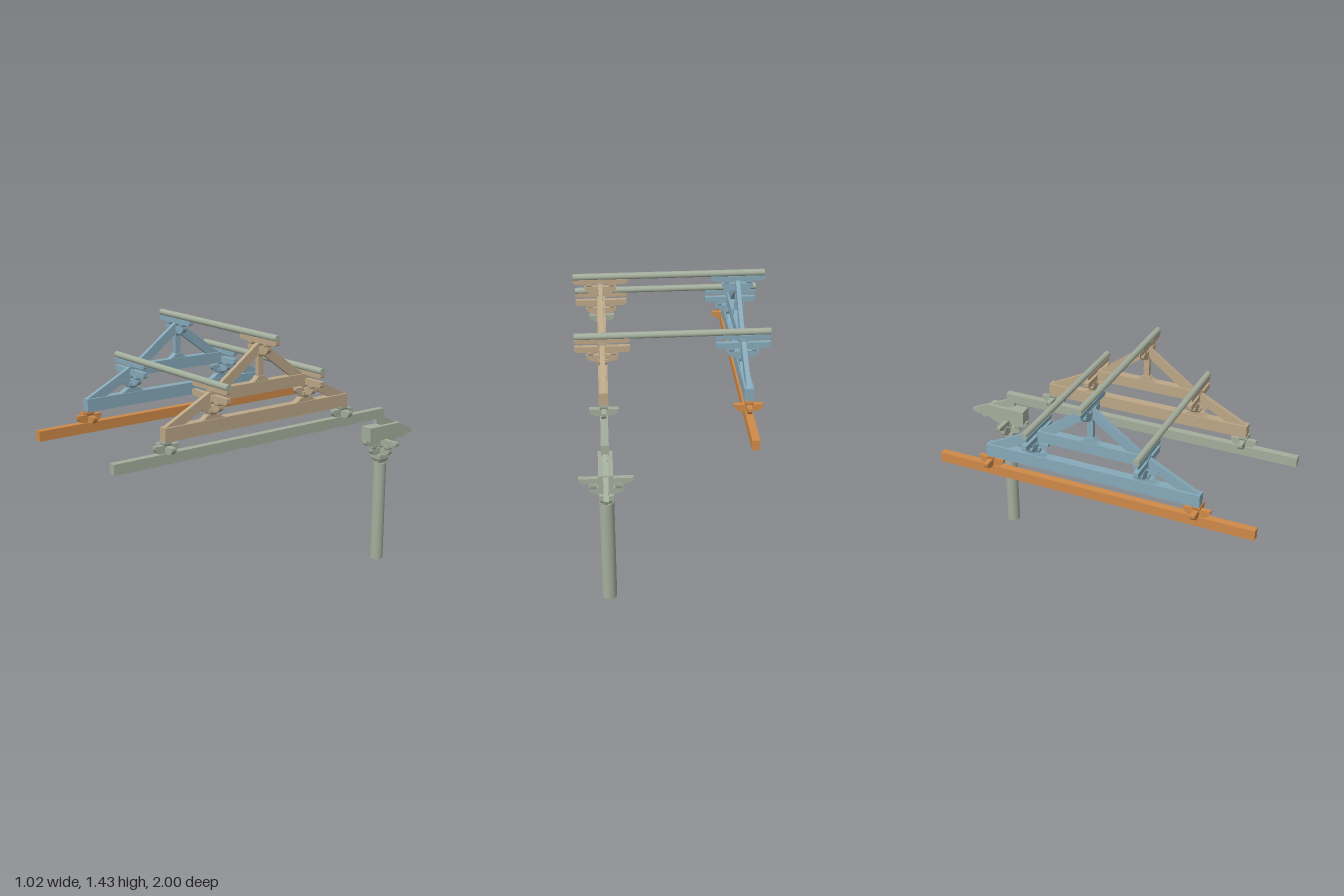
import * as THREE from 'three';

const mat = (color) => new THREE.MeshStandardMaterial({ color, flatShading: true });
const BLUE = mat(0x86a9b9), TAN = mat(0xbca788), GREY = mat(0xa3ad9c), ORANGE = mat(0xcf8a49);
const ROUND = new THREE.MeshStandardMaterial({ color: 0xa3ad9c });

function add(parent, name, geo, material, x = 0, y = 0, z = 0) {
  const m = new THREE.Mesh(geo, material);
  m.name = name;
  m.position.set(x, y, z);
  parent.add(m);
  return m;
}

function box(parent, name, material, w, y0, y1, z0, z1) {
  return add(parent, name, new THREE.BoxGeometry(w, y1 - y0, Math.abs(z1 - z0)), material, 0, (y0 + y1) / 2, (z0 + z1) / 2);
}

// outline in (along, y), given thickness, lying along x or z
function slab(parent, name, material, pts, width, axis, z = 0) {
  const shape = new THREE.Shape(pts.map(([a, b]) => new THREE.Vector2(a, b)));
  const geo = new THREE.ExtrudeGeometry(shape, { depth: width, bevelEnabled: false });
  geo.translate(0, 0, -width / 2);
  if (axis === 'z') geo.rotateY(-Math.PI / 2);
  return add(parent, name, geo, material, 0, 0, z);
}

// bracket arm: flat top, short upright ends, underside swept up to the tips
function arm(parent, name, material, half, y0, y1, axis, z = 0, width = 0.026) {
  const h = y1 - y0;
  const right = [[0.5, 0], [0.68, 0.07], [0.84, 0.25], [0.95, 0.48], [1, 0.65], [1, 1]]
    .map(([a, b]) => [a * half, y0 + b * h]);
  const left = right.map(([a, b]) => [-a, b]).reverse();
  return slab(parent, name, material, [...right, ...left], width, axis, z);
}

// square bearing block: straight upper half, tapered foot
function block(parent, name, material, size, y0, y1, z = 0, x = 0) {
  const r = size * Math.SQRT1_2, h = y1 - y0;
  const pts = [[0, 0], [r * 0.72, 0], [r * 0.8, h * 0.25], [r, h * 0.5], [r, h], [0, h]]
    .map(([a, b]) => new THREE.Vector2(a, b));
  return add(parent, name, new THREE.LatheGeometry(pts, 4, Math.PI / 4), material, x, y0, z);
}

// long board under a purlin, with chamfered ends
function board(parent, material, y0, y1, z) {
  const L = 0.143, c = 0.012, d = (y1 - y0) * 0.3;
  slab(parent, 'purlinBoard', material,
    [[-L + c, y0], [L - c, y0], [L, y0 + d], [L, y1], [-L, y1], [-L, y0 + d]], 0.026, 'x', z);
}

// one transverse truss; z is measured from the ridge
function truss(material, footMaterial) {
  const g = new THREE.Group();
  g.name = 'roofTruss';
  const frame = new THREE.Group();
  frame.name = 'trussFrame';
  g.add(frame);

  box(frame, 'lowerBeam', material, 0.048, 0.955, 1.024, -0.59, 0.59);
  box(frame, 'upperBeam', material, 0.044, 1.112, 1.173, -0.312, 0.312);

  // ridge post with spreading foot
  box(frame, 'ridgePost', material, 0.024, 1.17, 1.32, -0.016, 0.016);
  slab(frame, 'ridgePostFoot', material,
    [[-0.055, 1.173], [0.055, 1.173], [0.035, 1.182], [0.018, 1.2], [-0.018, 1.2], [-0.035, 1.182]], 0.036, 'z');
  block(frame, 'ridgePostBlock', material, 0.036, 1.295, 1.325);
  arm(frame, 'ridgeArm', material, 0.082, 1.313, 1.353, 'x');
  for (const x of [-0.06, 0, 0.06]) block(frame, 'ridgeBearingBlock', material, 0.03, 1.348, 1.372, 0, x);
  board(frame, material, 1.368, 1.394, 0);

  for (const s of [-1, 1]) {
    // sloping braces
    const m = (pts) => pts.map(([a, b]) => [a * s, b]);
    slab(frame, 'ridgeBrace', material, m([[0.285, 1.17], [0.2, 1.17], [0.012, 1.31], [0.012, 1.37]]), 0.022, 'z');
    slab(frame, 'lowerBrace', material, m([[0.59, 1.02], [0.475, 1.02], [0.315, 1.103], [0.315, 1.16]]), 0.024, 'z');

    // bracket stack under the lower purlin
    const z = s * 0.301;
    slab(frame, 'bracketFoot', material,
      [[-0.08, 1.022], [0.08, 1.022], [0.055, 1.03], [0.035, 1.046], [-0.035, 1.046], [-0.055, 1.03]], 0.036, 'z', z);
    block(frame, 'bracketBaseBlock', material, 0.05, 1.043, 1.077, z);
    arm(frame, 'crossArm', material, 0.082, 1.064, 1.1, 'x', z);
    arm(frame, 'lengthArm', material, 0.066, 1.064, 1.1, 'z', z);
    for (const x of [-0.06, 0, 0.06]) block(frame, 'bearingBlock', material, 0.032, 1.096, 1.118, z, x);
    board(frame, material, 1.116, 1.148, z);
    block(frame, 'upperBearingBlock', material, 0.034, 1.145, 1.17, z);
    board(frame, material, 1.167, 1.19, z);

    // crossed bracket carrying the lower beam
    const f = s * 0.573;
    arm(g, 'footCrossArm', footMaterial, 0.073, 0.896, 0.934, 'x', f);
    arm(g, 'footLengthArm', footMaterial, 0.07, 0.896, 0.938, 'z', f, 0.024);
    block(g, 'footBlock', footMaterial, 0.044, 0.93, 0.957, f);
  }
  g.position.z = 0.123;
  return g;
}

// column with its bracket set and slanting lever arms
function columnSet() {
  const g = new THREE.Group();
  g.name = 'columnSet';
  const z = -0.757;
  add(g, 'column', new THREE.CylinderGeometry(0.0375, 0.0385, 0.58, 32), ROUND, 0, 0.29, z);
  block(g, 'capitalBlock', GREY, 0.072, 0.578, 0.632, z);
  arm(g, 'lowerCrossArm', GREY, 0.083, 0.628, 0.668, 'x', z);
  arm(g, 'lowerLengthArm', GREY, 0.074, 0.628, 0.668, 'z', z);
  for (const x of [-0.062, 0, 0.062]) block(g, 'crossBearingBlock', GREY, 0.036, 0.66, 0.69, z, x);
  for (const d of [-0.055, 0.055]) block(g, 'lengthBearingBlock', GREY, 0.032, 0.66, 0.69, z + d);
  arm(g, 'upperCrossArm', GREY, 0.134, 0.683, 0.72, 'x', z);
  arm(g, 'upperLengthArm', GREY, 0.125, 0.683, 0.722, 'z', z);
  box(g, 'eavesBlock', GREY, 0.072, 0.72, 0.8, -0.875, -0.642);
  slab(g, 'upperLever', GREY,
    [[-0.71, 0.848], [-0.752, 0.85], [-1, 0.738], [-0.992, 0.718], [-0.95, 0.714], [-0.71, 0.815]], 0.024, 'z');
  slab(g, 'lowerLever', GREY,
    [[-0.8, 0.79], [-0.86, 0.768], [-0.945, 0.722], [-0.925, 0.696], [-0.8, 0.745]], 0.024, 'z');
  return g;
}

export function createModel() {
  const model = new THREE.Group();
  model.name = 'timberRoofFrame';

  for (const [x, material, foot] of [[-0.367, BLUE, ORANGE], [0.362, TAN, GREY]]) {
    const side = new THREE.Group();
    side.name = x < 0 ? 'rightFrame' : 'leftFrame';
    side.position.x = x;
    side.add(truss(material, foot));
    box(side, 'baseBeam', foot, 0.039, 0.843, 0.897, -0.756, 1);
    if (x > 0) side.add(columnSet());
    model.add(side);
  }

  // round purlins across both trusses
  for (const [y, z] of [[1.408, 0.123], [1.204, 0.424], [1.204, -0.178]]) {
    const p = add(model, 'purlin', new THREE.CylinderGeometry(0.0175, 0.0175, 1.014, 24), ROUND, -0.002, y, z);
    p.rotation.z = Math.PI / 2 - 0.004;
  }
  return model;
}
